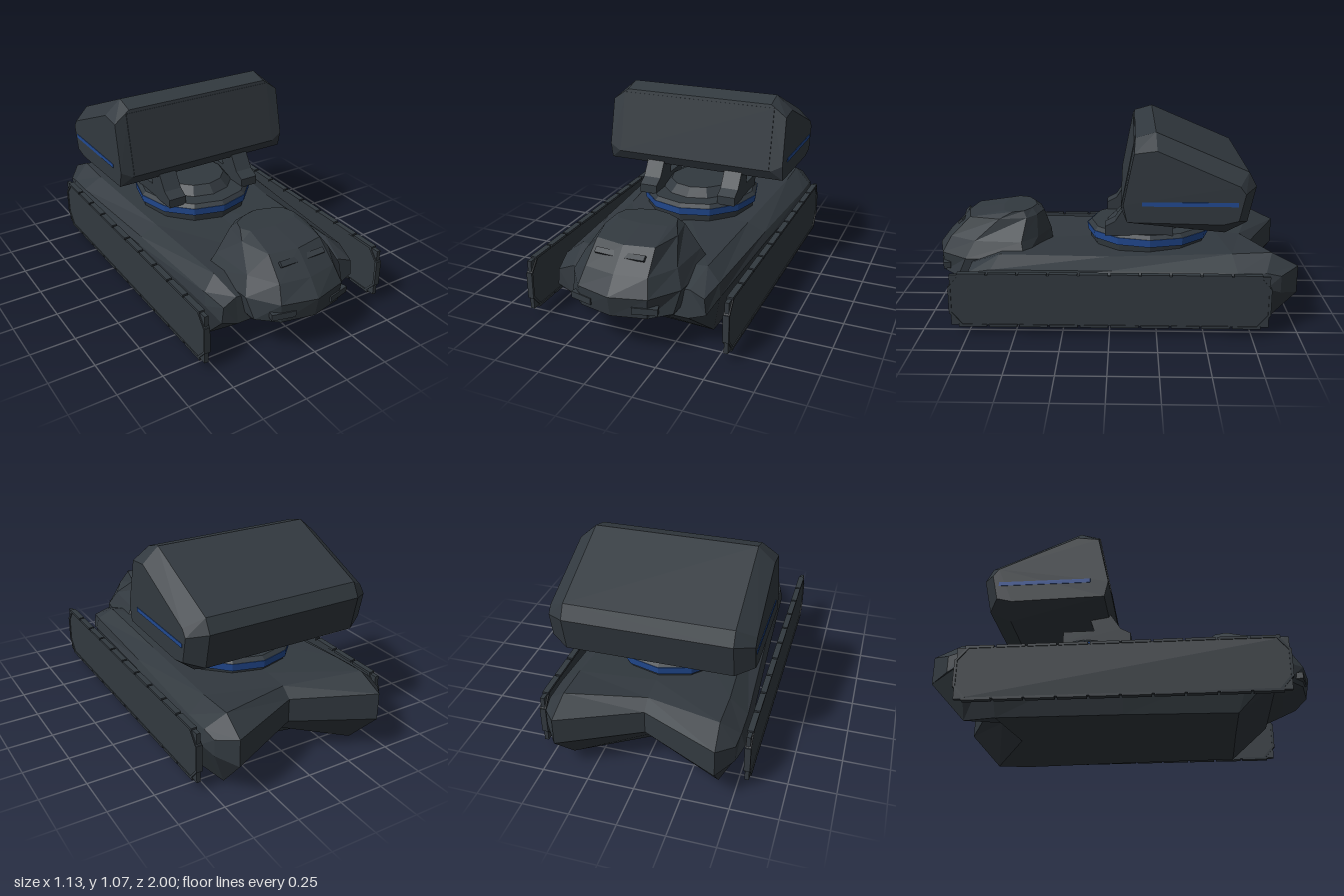
import * as THREE from 'three';
import { ConvexGeometry } from 'three/addons/geometries/ConvexGeometry.js';

const armour = new THREE.MeshStandardMaterial({ color: 0x32393f, flatShading: true });
armour.name = 'slate armour';
const blue = new THREE.MeshStandardMaterial({ color: 0x224a92, flatShading: true });
blue.name = 'blue trim';

// Skin a stack of half outlines (centre line to centre line) mirrored over x = 0.
function mirroredLoft(halves) {
  const rings = halves.map(h => [...h, ...h.slice(1, -1).reverse().map(([x, y, z]) => [-x, y, z])]);
  const n = rings[0].length, last = rings.length - 1, pos = rings.flat(2), idx = [];
  const quad = (a, b, c, d) => idx.push(a, b, c, a, c, d);
  for (let r = 0; r < last; r++) {
    for (let i = 0; i < n; i++) {
      const j = (i + 1) % n;
      quad(r * n + i, r * n + j, (r + 1) * n + j, (r + 1) * n + i);
    }
  }
  // Caps: strips stepping outward from the centre line on each side, so notches stay open
  const h = n / 2, o = last * n;
  for (let i = 0; i < Math.floor(h / 2); i++) {
    const [a, b, c, d] = [i, i + 1, h - i - 1, h - i];
    const [ma, mb, mc, md] = [a, b, c, d].map(k => (n - k) % n);
    quad(d, c, b, a);
    quad(ma, mb, mc, md);
    quad(o + a, o + b, o + c, o + d);
    quad(o + md, o + mc, o + mb, o + ma);
  }
  // Turn the faces outward
  const v = k => new THREE.Vector3(...pos.slice(k * 3, k * 3 + 3));
  let volume = 0;
  for (let t = 0; t < idx.length; t += 3) volume += v(idx[t]).dot(v(idx[t + 1]).cross(v(idx[t + 2])));
  if (volume < 0) idx.reverse();
  const g = new THREE.BufferGeometry();
  g.setAttribute('position', new THREE.Float32BufferAttribute(pos, 3));
  g.setIndex(idx);
  const flat = g.toNonIndexed();
  flat.computeVertexNormals();
  return flat;
}

function add(parent, name, geometry, material, x = 0, y = 0, z = 0) {
  const m = new THREE.Mesh(geometry, material);
  m.name = name;
  m.position.set(x, y, z);
  parent.add(m);
  return m;
}
const box = (w, h, d) => new THREE.BoxGeometry(w, h, d);

// Side profile of [z, y] points given a width along x
function sidePlate(profile, width) {
  const s = new THREE.Shape(profile.map(([z, y]) => new THREE.Vector2(-z, y)));
  return new THREE.ExtrudeGeometry(s, { depth: width, bevelEnabled: false })
    .translate(0, 0, -width / 2).rotateY(Math.PI / 2);
}

function addHull(g) {
  // Front to rear, each from bottom centre round to top centre; the tail is notched
  add(g, 'hull', mirroredLoft([
    [[0, .18, .78], [.33, .18, .78], [.42, .21, .77], [.41, .30, .77], [.33, .33, .76], [0, .30, .76]],
    [[0, .03, .58], [.39, .015, .58], [.45, .26, .66], [.44, .33, .64], [.36, .39, .60], [0, .36, .58]],
    [[0, .03, 0], [.41, .015, 0], [.49, .30, 0], [.47, .34, 0], [.37, .385, 0], [0, .385, 0]],
    [[0, .03, -.60], [.43, .01, -.65], [.53, .30, -.67], [.51, .35, -.67], [.41, .42, -.65], [0, .41, -.6]],
    [[0, .14, -.72], [.40, .01, -.82], [.53, .27, -.82], [.51, .35, -.82], [.41, .43, -.86], [0, .40, -.74]],
    [[0, .22, -.80], [.42, .21, -1], [.50, .24, -.90], [.50, .33, -.90], [.42, .36, -1], [0, .35, -.80]]
  ]), armour);
}

function addCab(g) {
  const cab = new THREE.Group();
  cab.name = 'cab';
  g.add(cab);
  const level = (y, pts) => pts.map(([x, z]) => [x, y, z]);
  add(cab, 'cabShell', mirroredLoft([
    level(.18, [[0, .85], [.18, .83], [.25, .78], [.27, .52], [.14, .44], [0, .40]]),
    level(.23, [[0, .98], [.18, .94], [.28, .85], [.30, .50], [.16, .41], [0, .36]]),
    level(.34, [[0, 1.0], [.19, .95], [.30, .80], [.33, .47], [.18, .42], [0, .34]]),
    level(.43, [[0, .93], [.17, .90], [.26, .75], [.28, .49], [.17, .41], [0, .35]]),
    level(.54, [[0, .82], [.16, .79], [.205, .62], [.18, .47], [.11, .42], [0, .39]]),
    level(.572, [[0, .62], [.14, .60], [.17, .55], [.15, .49], [.08, .45], [0, .43]])
  ]), armour);
  for (const s of [-1, 1]) {
    add(cab, 'headlampHousing', box(.13, .035, .04), armour, s * .17, .275, .935).rotation.y = s * .25;
    add(cab, 'brow', box(.11, .015, .03), armour, s * .08, .50, .85).rotation.set(.7, 0, s * .1);
  }
}

function addTracks(g) {
  for (const s of [-1, 1]) {
    const track = new THREE.Group();
    track.name = s > 0 ? 'leftTrack' : 'rightTrack';
    track.position.x = s * .55;
    g.add(track);
    add(track, 'trackPanel', box(.022, .28, 1.67), armour, 0, .206, 0);
    // Links along the top and bottom runs
    for (let i = 0; i < 10; i++) {
      const z = -.72 + i * .16;
      add(track, 'topLink', box(.032, .014, .148), armour, 0, .348, z);
      add(track, 'bottomLink', box(.032, .014, .148), armour, 0, .064, z);
    }
    // Upright links and slanting corner links at the ends
    for (const e of [-1, 1]) {
      add(track, 'endLink', box(.032, .15, .014), armour, 0, .206, e * .837);
      for (const v of [-1, 1]) {
        add(track, 'cornerLink', box(.032, .085, .012), armour, 0, .206 + v * .105, e * .807)
          .rotation.x = -v * e * .7;
      }
    }
  }
}

function addTurret(g) {
  const t = new THREE.Group();
  t.name = 'turret';
  t.position.z = -.215;
  g.add(t);
  const disc = (name, top, bottom, y0, y1, mat) =>
    add(t, name, new THREE.CylinderGeometry(top, bottom, y1 - y0, 12).scale(.96, 1, 1), mat, 0, (y0 + y1) / 2, 0);
  disc('turretBase', .34, .33, .37, .425, armour);
  disc('blueRing', .355, .35, .425, .467, blue);
  disc('turretCollar', .33, .352, .467, .487, armour);
  disc('turretPedestal', .19, .24, .485, .535, armour);
  // Raised arms carrying the launcher, leaning back from a foot block
  const arm = [[.245, .48], [.245, .53], [.19, .56], [.115, .675], [.005, .675], [.045, .55],
    [-.05, .55], [-.125, .55], [-.125, .48]];
  for (const s of [-1, 1]) add(t, 'launcherArm', sidePlate(arm, .105), armour, s * .242, 0, 0);
}

function addLauncher(g) {
  const l = new THREE.Group();
  l.name = 'launcher';
  g.add(l);
  // Full profile in the middle, smaller profile at the chamfered ends
  const middle = [[-.06, .685], [-.13, 1.05], [-.235, 1.08], [-.715, .875],
    [-.755, .80], [-.715, .61], [-.60, .55]];
  const end = [[-.09, .63], [-.07, .72], [-.125, .985], [-.24, 1.0], [-.66, .82],
    [-.69, .78], [-.66, .64], [-.58, .62]];
  const points = [];
  for (const s of [-1, 1]) {
    middle.forEach(([z, y], i) => points.push(new THREE.Vector3(s * (i < 1 ? .47 : .44), y, z)));
    end.forEach(([z, y]) => points.push(new THREE.Vector3(s * (y > .9 ? .53 : .535), y, z)));
  }
  add(l, 'launcherBody', new ConvexGeometry(points), armour);
  // Front door plate
  add(l, 'launcherDoor', box(.92, .345, .008), armour, 0, .863, -.094).rotation.x = -.19;
  for (const s of [-1, 1]) add(l, 'blueStripe', box(.006, .022, .49), blue, s * .535, .727, -.41);
}

export function createModel() {
  const g = new THREE.Group();
  g.name = 'launcherVehicle';
  addHull(g);
  addCab(g);
  addTracks(g);
  addTurret(g);
  addLauncher(g);
  return g;
}
